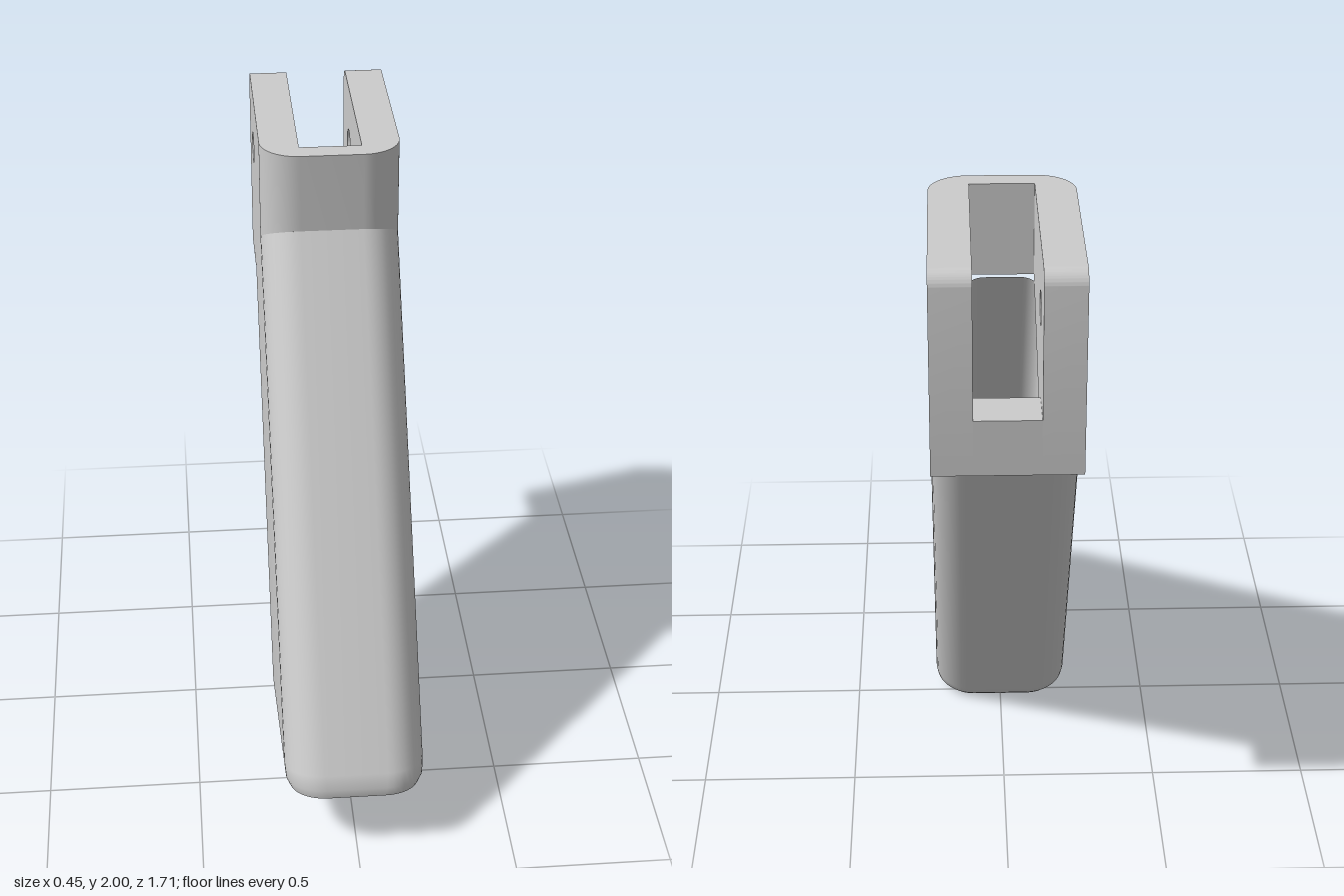
import * as THREE from 'three';
import { toCreasedNormals } from 'three/addons/utils/BufferGeometryUtils.js';

const SEG = 10; // segments per rounded corner
const HALF = 0.225; // half width of the body
const SLOT = 0.1; // half width of the slot
const SEAM = (z) => 1.74 + 0.585 * (z + 0.12); // sloping seam between head and grip

// Rounded-rectangle ring in a tilted plane; front and back are [z, y]
function ring({ front, back, half, rx, rz }) {
  const depth = front[0] - back[0];
  const points = [];
  const corners = [[1, 1], [-1, 1], [-1, -1], [1, -1]];
  corners.forEach(([sx, sz], q) => {
    for (let i = 0; i <= SEG; i++) {
      const a = (q + i / SEG) * Math.PI / 2;
      const x = sx * (half - rx) + rx * Math.cos(a);
      const z = sz * (depth / 2 - rz) + rz * Math.sin(a);
      const t = z / depth + 0.5;
      points.push([x, back[1] + t * (front[1] - back[1]), back[0] + t * depth]);
    }
  });
  return points;
}

// Skin a sequence of rings with equal point counts
function loft(rings) {
  const n = rings[0].length;
  const index = [];
  for (let r = 0; r < rings.length - 1; r++) {
    for (let i = 0; i < n; i++) {
      const a = r * n + i, b = r * n + (i + 1) % n;
      index.push(a, b, a + n, b, b + n, a + n);
    }
  }
  const geo = new THREE.BufferGeometry();
  geo.setAttribute('position', new THREE.Float32BufferAttribute(rings.flat(2), 3));
  geo.setIndex(index);
  return toCreasedNormals(geo, 0.7);
}

// Side profile (u = -z, y) extruded along x from x0 to x1
function sideExtrude(shape, x0, x1) {
  const geo = new THREE.ExtrudeGeometry(shape, { depth: x1 - x0, bevelEnabled: false, curveSegments: 24 });
  geo.rotateY(Math.PI / 2).translate(x0, 0, 0);
  return toCreasedNormals(geo, 0.6);
}

export function createModel() {
  const model = new THREE.Group();
  const material = new THREE.MeshStandardMaterial({ color: 0xcccccc });
  const add = (name, geo) => {
    const mesh = new THREE.Mesh(geo, material);
    mesh.name = name;
    model.add(mesh);
  };

  // Hollow slanted grip: outer skin down, round the rim, then back up the cavity
  const outer = { rx: 0.125, rz: 0.12 };
  const inner = { half: 0.125, rx: 0.07, rz: 0.08 };
  add('grip', loft([
    { front: [-0.12, 1.74], back: [-0.77, 1.36], half: HALF, ...outer },
    { front: [0.829, 0.28], back: [-0.064, 0.045], half: HALF, ...outer },
    { front: [0.853, 0.24], back: [-0.052, 0.02], half: 0.221, ...outer },
    { front: [0.85, 0.207], back: [-0.035, 0.005], half: 0.208, rx: 0.115, rz: 0.115 },
    { front: [0.82, 0.185], back: [-0.01, 0], half: 0.185, rx: 0.1, rz: 0.105 },
    { front: [0.73, 0.165], back: [0.09, 0.022], ...inner },
    { front: [-0.19, 1.69], back: [-0.71, 1.54], ...inner },
  ].map(ring)));

  // Two cheeks with the pin hole
  const cheek = new THREE.Shape();
  cheek.moveTo(0.24, SEAM(-0.24));
  cheek.lineTo(0.64, SEAM(-0.64));
  cheek.lineTo(0.64, 1.36);
  cheek.lineTo(0.855, 1.36);
  cheek.lineTo(0.855, 1.95);
  cheek.absarc(0.805, 1.95, 0.05, 0, Math.PI / 2, false);
  cheek.lineTo(0.24, 2);
  cheek.closePath();
  const pin = new THREE.Path();
  pin.absarc(0.65, 1.8, 0.052, 0, Math.PI * 2, true);
  cheek.holes.push(pin);
  add('leftCheek', sideExtrude(cheek, SLOT, HALF));
  add('rightCheek', sideExtrude(cheek, -HALF, -SLOT));

  // Slot floor at the back, sloping into the cavity
  const floor = new THREE.Shape([
    [0.64, 1.36], [0.855, 1.36], [0.855, 1.54], [0.712, 1.54], [0.64, 1.4],
  ].map(([u, y]) => new THREE.Vector2(u, y)));
  add('slotFloor', sideExtrude(floor, -SLOT, SLOT));

  // Rounded front wall joining the cheeks, its lower end cut along the seam
  const wall = new THREE.Shape();
  wall.moveTo(-HALF, 0.24);
  wall.absellipse(-0.1, 0.24, 0.125, 0.12, Math.PI, Math.PI * 1.5, false, 0);
  wall.absellipse(0.1, 0.24, 0.125, 0.12, -Math.PI / 2, 0, false, 0);
  wall.lineTo(SLOT, 0.24);
  wall.lineTo(SLOT, 0.19);
  wall.lineTo(-SLOT, 0.19);
  wall.lineTo(-SLOT, 0.24);
  wall.closePath();
  const wallGeo = new THREE.ExtrudeGeometry(wall, { depth: 1, bevelEnabled: false, curveSegments: SEG });
  wallGeo.rotateX(-Math.PI / 2).translate(0, 1, 0);
  const p = wallGeo.attributes.position;
  for (let i = 0; i < p.count; i++) if (p.getY(i) < 1.5) p.setY(i, SEAM(p.getZ(i)));
  add('frontWall', toCreasedNormals(wallGeo, 0.5));

  return model;
}
